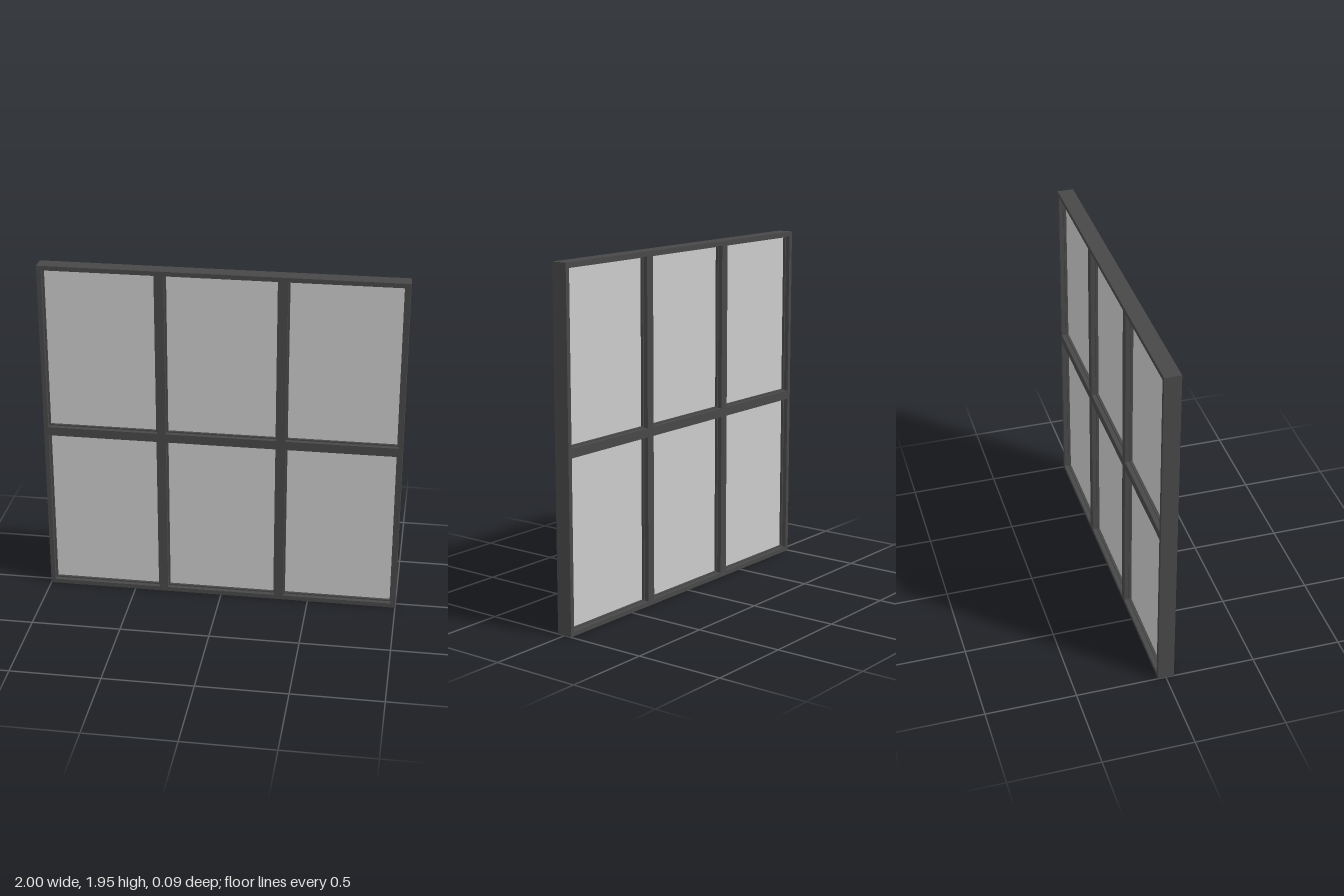
import * as THREE from 'three';

const W = 2, H = 1.945, COLS = 3, ROWS = 2;
const CW = W / COLS, CH = H / ROWS;

// Rectangular outline centred on (x, y)
function rect(Type, x, y, w, h) {
  return new Type([
    new THREE.Vector2(x - w / 2, y - h / 2), new THREE.Vector2(x + w / 2, y - h / 2),
    new THREE.Vector2(x + w / 2, y + h / 2), new THREE.Vector2(x - w / 2, y + h / 2),
  ]);
}

// Extrude centred on z = 0
function slab(shape, depth) {
  return new THREE.ExtrudeGeometry(shape, { depth, bevelEnabled: false }).translate(0, 0, -depth / 2);
}

export function createModel() {
  const group = new THREE.Group();
  const frameMat = new THREE.MeshStandardMaterial({ color: 0x484848 });
  const paneMat = new THREE.MeshStandardMaterial({ color: 0xcccccc });
  const add = (name, geometry, material) => {
    const mesh = new THREE.Mesh(geometry, material);
    mesh.name = name;
    group.add(mesh);
  };

  const rail = 0.025, bead = 0.008;
  const openW = CW - 2 * rail, openH = CH - 2 * rail;
  const frame = rect(THREE.Shape, 0, H / 2, W, H);

  for (let r = 0; r < ROWS; r++) {
    for (let c = 0; c < COLS; c++) {
      const x = (c + 0.5) * CW - W / 2, y = (r + 0.5) * CH;
      frame.holes.push(rect(THREE.Path, x, y, openW, openH));

      // Thin retaining bead lining the opening
      const lining = rect(THREE.Shape, x, y, openW, openH);
      lining.holes.push(rect(THREE.Path, x, y, openW - 2 * bead, openH - 2 * bead));
      add('glazingBead', slab(lining, 0.04), frameMat);

      // Glass pane held inside the bead
      const pane = new THREE.BoxGeometry(openW - bead, openH - bead, 0.012);
      add('pane', pane.translate(x, y, 0), paneMat);
    }
  }

  // Outer frame with its mullions and crossbar
  add('frame', slab(frame, 0.09), frameMat);
  return group;
}
